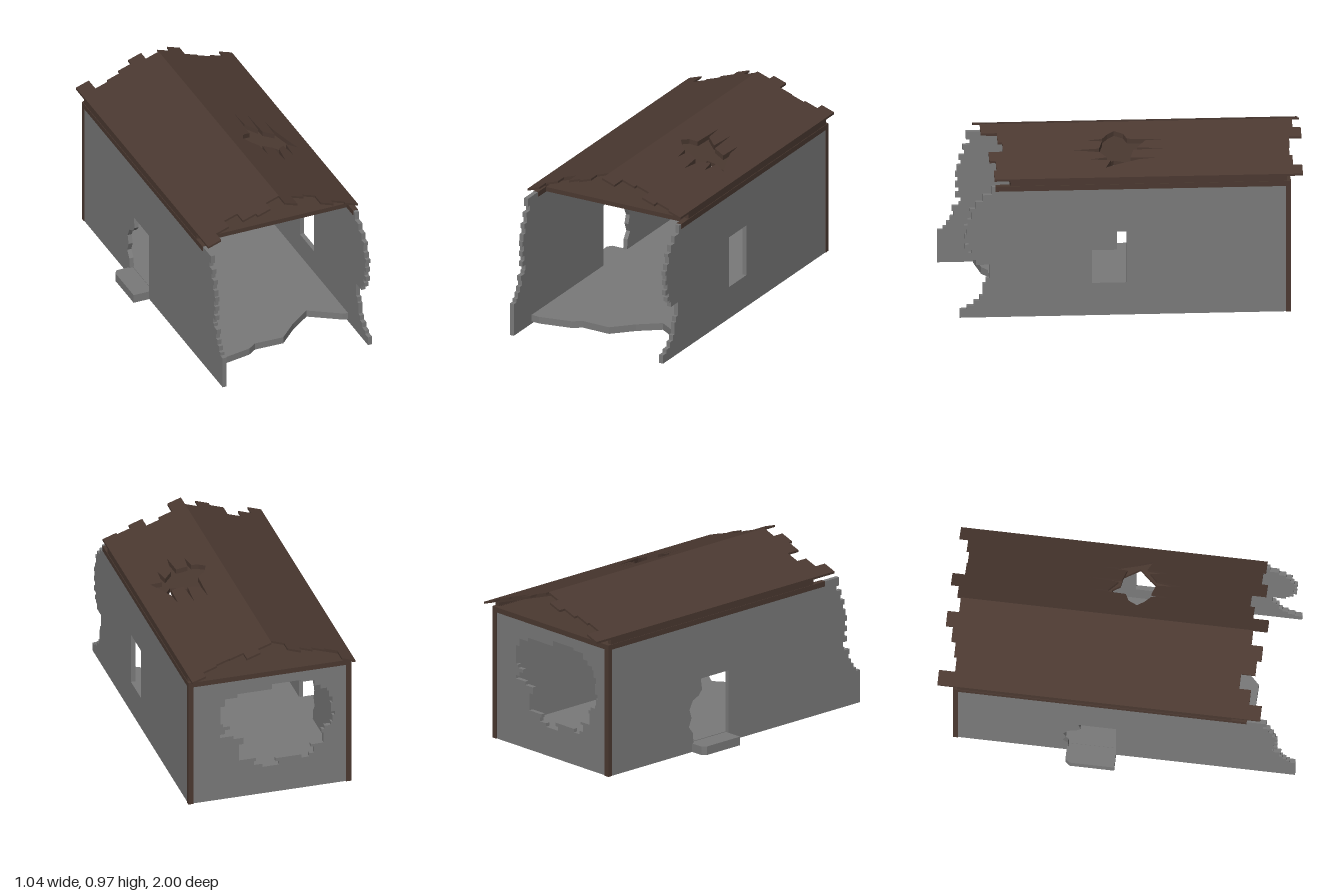
import * as THREE from 'three';

const stone = new THREE.MeshStandardMaterial({ color: 0x7a7a7a });
stone.name = 'grey stone';
const timber = new THREE.MeshStandardMaterial({ color: 0x4b3931 });
timber.name = 'brown timber';

const WALL = 0.025, X0 = -0.425, X1 = 0.515, BACK = -0.91, RIDGE = 0.045;

// Alternating list a, b, a, b... where every value moves along one axis only
function steps(list) {
  const pts = [];
  for (let i = 1; i < list.length; i++) {
    pts.push(i % 2 ? [list[i - 1], list[i]] : [list[i], list[i - 1]]);
  }
  return pts;
}

const toVec = (pts) => pts.map(([a, b]) => new THREE.Vector2(a, b));

function plate(pts, depth, holes = []) {
  const shape = new THREE.Shape(toVec(pts));
  holes.forEach((h) => shape.holes.push(new THREE.Path(toVec(h))));
  return new THREE.ExtrudeGeometry(shape, { depth, bevelEnabled: false });
}

// Outline in x, z laid under a height rule, thickness going down
function lay(pts, depth, top, holes) {
  const g = plate(pts, depth, holes);
  const p = g.attributes.position;
  for (let i = 0; i < p.count; i++) {
    const x = p.getX(i), z = p.getY(i), w = p.getZ(i);
    p.setXYZ(i, x, top(x) - w, z);
  }
  g.computeVertexNormals();
  return g;
}

export function createModel() {
  const model = new THREE.Group();
  model.name = 'ruinedBuilding';

  const add = (name, geo, mat) => {
    const m = new THREE.Mesh(geo, mat);
    m.name = name;
    model.add(m);
    return m;
  };
  const box = (name, mat, x0, x1, y0, y1, z0, z1) =>
    add(name, new THREE.BoxGeometry(x1 - x0, y1 - y0, z1 - z0), mat)
      .position.set((x0 + x1) / 2, (y0 + y1) / 2, (z0 + z1) / 2);

  // Side walls: outline in z, y with a broken brick edge at the front
  const sideWall = (name, outerX, edge, hole) => {
    const pts = [[BACK + 0.005, 0], ...steps(edge), [BACK + 0.005, 0.768]];
    const g = plate(pts, WALL, [hole]);
    g.rotateY(-Math.PI / 2);
    add(name, g, stone).position.x = outerX;
  };
  sideWall('leftWall', X1, [
    0.93, 0, 0.93, 0.05, 0.89, 0.07, 0.85, 0.1, 0.82, 0.13, 0.8, 0.2, 0.785, 0.23, 0.765, 0.31,
    0.84, 0.34, 0.86, 0.355, 0.88, 0.38, 0.865, 0.4, 0.9, 0.43, 0.88, 0.46, 0.9, 0.49, 0.89, 0.52,
    0.905, 0.545, 0.885, 0.58, 0.865, 0.62, 0.875, 0.64, 0.84, 0.68, 0.8, 0.72, 0.75, 0.768,
  ], [[0, 0.19], [0.195, 0.19], [0.195, 0.49], [0, 0.49]]);
  sideWall('rightWall', X0 + WALL, [
    1, 0, 1, 0.19, 0.97, 0.21, 0.95, 0.24, 0.93, 0.27, 0.91, 0.3, 0.92, 0.33, 0.88, 0.35,
    0.87, 0.38, 0.9, 0.41, 0.88, 0.44, 0.9, 0.47, 0.885, 0.5, 0.9, 0.53, 0.89, 0.57,
    0.87, 0.6, 0.88, 0.63, 0.85, 0.66, 0.86, 0.69, 0.82, 0.72, 0.84, 0.768,
  ], [[0, 0.05], [0, 0.415], [-0.21, 0.415], [-0.2, 0.35], [-0.225, 0.32], [-0.27, 0.3],
    [-0.295, 0.25], [-0.28, 0.2], [-0.3, 0.15], [-0.27, 0.11], [-0.265, 0.05]]);

  // Back wall with the large stepped breach
  const breach = steps([
    -0.135, 0.683, 0.03, 0.652, 0.232, 0.63, 0.305, 0.585, 0.33, 0.475, 0.315, 0.455, 0.275, 0.435,
    0.305, 0.41, 0.332, 0.39, 0.255, 0.37, 0.195, 0.33, 0.222, 0.23, 0.125, 0.21, 0.135, 0.187,
    0.087, 0.167, -0.01, 0.19, 0.01, 0.21, -0.14, 0.19, -0.185, 0.21, -0.213, 0.25, -0.195, 0.265,
    -0.268, 0.33, -0.257, 0.35, -0.273, 0.37, -0.31, 0.39, -0.32, 0.43, -0.333, 0.455, -0.31, 0.51,
    -0.32, 0.55, -0.3, 0.59, -0.288, 0.61, -0.25, 0.635, -0.215, 0.67, -0.135,
  ]);
  add('backWall', plate([[X0 + 0.01, 0], [X1 - 0.01, 0], [X1 - 0.01, 0.75], [X0 + 0.01, 0.75]],
    WALL, [breach]), stone).position.z = BACK + 0.003;

  // Floor slab with a cracked front edge, its underside just above the wall feet
  add('floor', lay([[X0 + 0.02, BACK + 0.01], [X1 - 0.02, BACK + 0.01], [X1 - 0.02, 0.66], [0.46, 0.65],
    [0.29, 0.54], [0.17, 0.63], [0.06, 0.74], [-0.11, 0.735], [-0.16, 0.77], [-0.35, 0.805], [X0 + 0.02, 0.8]],
  0.04, () => 0.053), stone);

  // Doorstep with a clipped corner
  add('doorstep', lay([[X0 + 0.02, -0.275], [-0.5, -0.275], [-0.52, -0.25], [-0.52, 0], [X0 + 0.02, 0]],
    0.05, () => 0.05), stone);

  // Wall-top beams, back beam and rear corner posts
  const e = 0.003;
  [['left', X1 - WALL, X1], ['right', X0, X0 + WALL]].forEach(([side, a, b]) => {
    box(side + 'WallBeam', timber, a - e, b + e, 0.74, 0.77, BACK, 0.73);
    box(side + 'EaveBeam', timber, a, b, 0.77, 0.798, -0.89, 0.645);
    box(side + 'CornerPost', timber, a - e, b + e, 0, 0.74, BACK - e, BACK + WALL);
  });
  box('backBeam', timber, X0, X1, 0.74, 0.77, BACK - e, BACK + WALL + e);

  // Flat ceiling, holed below the roof damage
  add('ceiling', lay([[X0 + 0.02, BACK + 0.01], [X1 - 0.02, BACK + 0.01], [X1 - 0.02, 0.645], [X0 + 0.02, 0.645]],
    0.026, () => 0.768, [[
      [0.125, 0.05], [0.15, 0], [0.19, -0.01], [0.2, -0.12], [0.265, -0.1], [0.29, -0.06], [0.345, -0.05],
      [0.4, 0.04], [0.345, 0.1], [0.3, 0.16], [0.2, 0.12], [0.16, 0.08],
    ]]), timber);

  // Roof: six planks a side, each with its own broken ends, over a shorter lining
  const front = [0.805, 0.735, 0.67, 0.75, 0.775, 0.71, 0.79, 0.7, 0.675, 0.755, 0.72, 0.735];
  const rear = [-1, -0.91, -0.925, -0.95, -0.99, -0.925, -0.945, -0.99, -0.92, -0.915, -0.93, -0.98];
  const roofHole = [
    [0.125, 0.05], [0.15, 0], [0.192, -0.02], [0.2, -0.24], [0.208, -0.12], [0.268, -0.07],
    [0.277, -0.24], [0.285, -0.05], [0.35, -0.03], [0.355, -0.18], [0.365, -0.08], [0.4, 0.03],
    [0.43, 0.11], [0.37, 0.08], [0.36, 0.2], [0.345, 0.1], [0.3, 0.14], [0.28, 0.28],
    [0.27, 0.14], [0.21, 0.12], [0.2, 0.21], [0.19, 0.12], [0.155, 0.09],
  ];
  const w = (X1 - X0) / 12, sheet = 0.012;
  const roofTop = (x) => 0.97 - 0.34 * Math.abs(x - RIDGE);
  const liningTop = (x) => roofTop(x) - sheet;
  [['right', 0, []], ['left', 6, [roofHole]]].forEach(([side, first, holes]) => {
    const near = [], far = [];
    for (let i = first; i < first + 6; i++) {
      const a = X0 + i * w, b = a + w;
      near.push([a, front[i]], [b, front[i]]);
      far.unshift([b, rear[i]], [a, rear[i]]);
    }
    add(side + 'Roof', lay([...near, ...far], sheet, roofTop, holes), timber);
    const a = X0 + first * w, b = a + 6 * w;
    add(side + 'RoofLining', lay([[a, -0.89], [b, -0.89], [b, 0.645], [a, 0.645]],
      0.016, liningTop, holes), timber);
  });

  return model;
}
